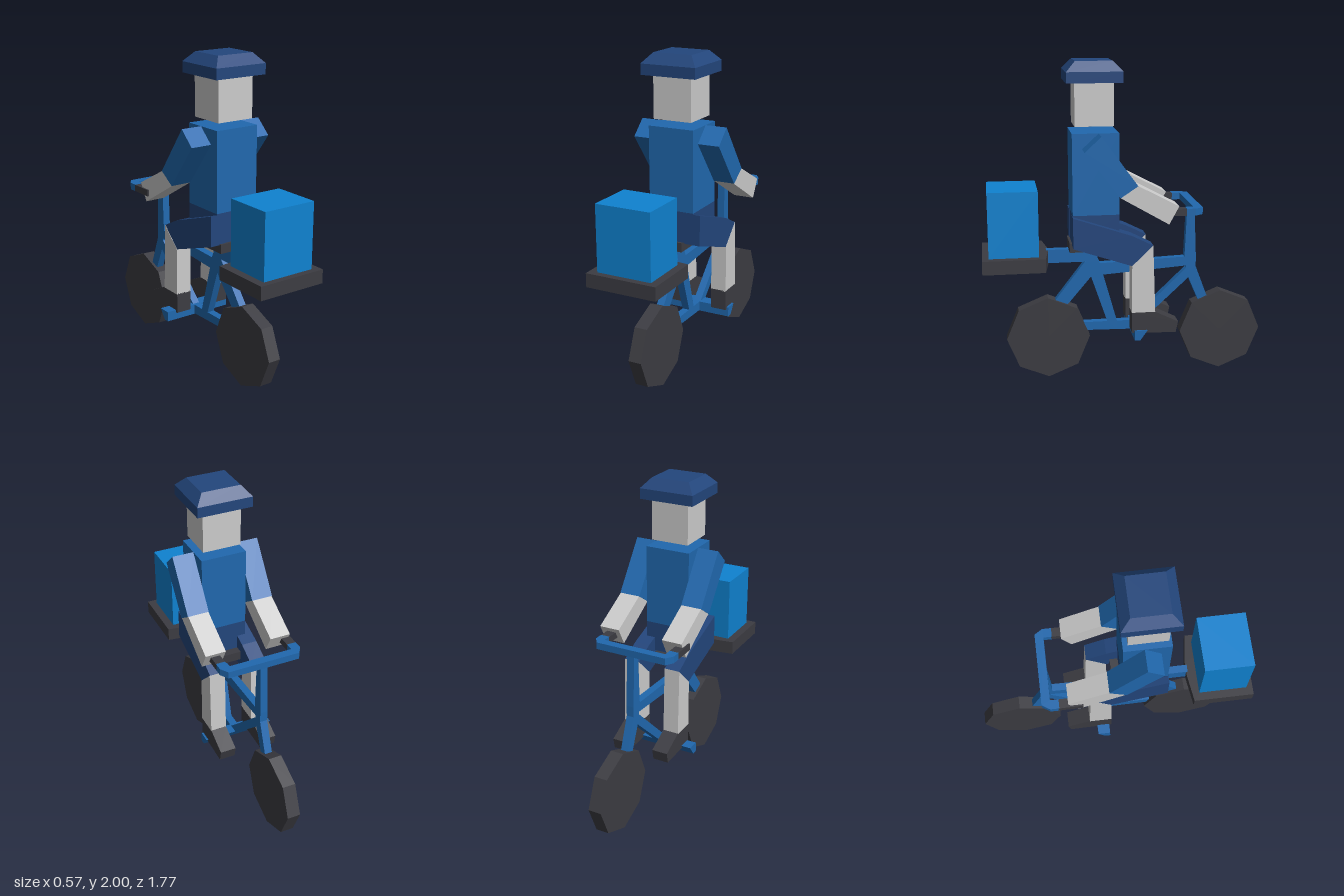
import * as THREE from 'three';

const mat = (color) => new THREE.MeshStandardMaterial({ color, flatShading: true });

export function createModel() {
  const model = new THREE.Group();
  const shirt = mat(0x2068ae), pants = mat(0x23467c), frameBlue = mat(0x2068ae);
  const crateBlue = mat(0x0f82d0), dark = mat(0x3c3c42), grey = mat(0xcccccc);
  const bikeX = -0.025; // the bicycle sits slightly off the rider's centre line

  const add = (name, geometry, material, parent = model) => {
    const mesh = new THREE.Mesh(geometry, material);
    mesh.name = name;
    parent.add(mesh);
    return mesh;
  };
  const group = (name) => {
    const g = new THREE.Group();
    g.name = name;
    model.add(g);
    return g;
  };
  const extrude = (points, depth) => new THREE.ExtrudeGeometry(
    new THREE.Shape(points.map(([a, b]) => new THREE.Vector2(a, b))),
    { depth, bevelEnabled: false });
  // Side profile of [z, y] points, spanning x0..x1
  const side = (points, x0, x1) =>
    extrude(points, x1 - x0).rotateY(-Math.PI / 2).translate(x1, 0, 0);
  // Plan outline of [x, z] points, spanning y0..y1
  const plan = (points, y0, y1) =>
    extrude(points, y1 - y0).rotateX(Math.PI / 2).translate(0, y1, 0);
  const box = (x0, x1, y0, y1, z0, z1) =>
    new THREE.BoxGeometry(x1 - x0, y1 - y0, z1 - z0)
      .translate((x0 + x1) / 2, (y0 + y1) / 2, (z0 + z1) / 2);

  // Rider: torso, hips, head
  const rider = group('rider');
  add('torso', box(-0.145, 0.145, 1.08, 1.577, 0.052, 0.335), shirt, rider);
  add('hips', box(-0.145, 0.145, 0.89, 1.08, 0.052, 0.335), pants, rider);
  add('head', box(-0.122, 0.122, 1.615, 1.88, 0.08, 0.315), grey, rider);

  // Cap: brim band with a sloped crown
  add('capBand', box(-0.175, 0.175, 1.875, 1.94, 0.03, 0.367), pants, rider);
  const crown = new THREE.BoxGeometry(0.35, 0.06, 0.337);
  const p = crown.attributes.position;
  for (let i = 0; i < p.count; i++) {
    if (p.getY(i) > 0) p.setXYZ(i, p.getX(i) * 0.7, p.getY(i), p.getZ(i) * 0.66);
  }
  add('capCrown', crown.translate(0, 1.97, 0.198), pants, rider);

  // Arms and legs, one set per side
  const limbs = [
    ['UpperArm', shirt, 0.145, 0.28, [[0.175, 1.577], [0.275, 1.485], [0.063, 1.21], [-0.042, 1.28]]],
    ['Forearm', grey, 0.147, 0.277, [[0.063, 1.21], [-0.042, 1.28], [-0.29, 1.15], [-0.23, 1.04]]],
    ['Thigh', pants, 0.09, 0.19, [[0.338, 1.075], [0.338, 0.885], [-0.02, 0.765], [-0.15, 0.89], [-0.02, 0.955]]],
    ['Shin', grey, 0.09, 0.192, [[-0.15, 0.89], [-0.02, 0.765], [-0.02, 0.46], [-0.165, 0.46]]],
    ['Shoe', dark, 0.09, 0.192, [[-0.02, 0.465], [-0.165, 0.465], [-0.31, 0.395], [-0.295, 0.325], [-0.02, 0.335]]],
  ];
  for (const [name, material, x0, x1, profile] of limbs) {
    add('left' + name, side(profile, x0, x1), material, rider);
    add('right' + name, side(profile, -x1, -x0), material, rider);
  }

  // Bicycle wheels
  const bike = group('bicycle');
  for (const [name, z] of [['frontWheel', -0.62], ['rearWheel', 0.486]]) {
    const wheel = new THREE.CylinderGeometry(0.262, 0.262, 0.083, 8).rotateZ(Math.PI / 2);
    add(name, wheel.translate(bikeX, 0.265, z), dark, bike);
  }

  // Frame tubes
  const tubes = {
    topTube: [[0.17, 0.735], [-0.40, 0.757], [-0.40, 0.698], [0.17, 0.658]],
    seatTube: [[0.245, 0.75], [0.20, 0.835], [0.16, 0.75], [0.048, 0.35], [0.05, 0.30], [0.11, 0.35]],
    seatStay: [[0.25, 0.75], [0.17, 0.70], [0.45, 0.37], [0.52, 0.40]],
    chainStay: [[0.48, 0.35], [0.11, 0.35], [-0.07, 0.35], [-0.07, 0.29], [0.25, 0.297], [0.48, 0.297]],
    downTube: [[-0.407, 0.69], [-0.42, 0.625], [-0.08, 0.31], [-0.03, 0.33]],
    stem: [[-0.40, 1.10], [-0.445, 1.10], [-0.46, 0.757], [-0.46, 0.68], [-0.405, 0.65], [-0.386, 0.757]],
    fork: [[-0.46, 0.69], [-0.40, 0.65], [-0.565, 0.265], [-0.62, 0.265]],
  };
  for (const [name, profile] of Object.entries(tubes)) {
    add(name, side(profile, bikeX - 0.024, bikeX + 0.024), frameBlue, bike);
  }
  add('pedalBar', side([[-0.035, 0.35], [-0.115, 0.35], [-0.07, 0.287], [-0.035, 0.287]], -0.255, 0.205), frameBlue, bike);
  add('seat', box(bikeX - 0.1, bikeX + 0.1, 0.832, 0.89, 0.0, 0.35), dark, bike);

  // Handlebar with bent ends, and grips
  const bar = [[-0.23, -0.45], [0.23, -0.45], [0.262, -0.40], [0.262, -0.345],
    [0.204, -0.345], [0.204, -0.397], [-0.204, -0.397], [-0.204, -0.345],
    [-0.262, -0.345], [-0.262, -0.40]];
  add('handlebar', plan(bar.map(([x, z]) => [x + bikeX, z]), 1.08, 1.123), frameBlue, bike);
  for (const s of [-1, 1]) {
    const x = bikeX + s * 0.233;
    add(s > 0 ? 'leftGrip' : 'rightGrip', box(x - 0.029, x + 0.029, 1.081, 1.122, -0.35, -0.2), dark, bike);
  }

  // Rear carrier: rail, tray and delivery box
  const carrier = group('carrier');
  add('carrierRail', box(bikeX - 0.024, bikeX + 0.024, 0.75, 0.835, 0.17, 0.49), frameBlue, carrier);
  add('tray', plan([[-0.248, 0.505], [-0.067, 0.48], [0.018, 0.48], [0.2, 0.505],
    [0.2, 0.885], [-0.248, 0.885]], 0.748, 0.833), dark, carrier);
  add('deliveryBox', box(-0.197, 0.15, 0.833, 1.238, 0.542, 0.845), crateBlue, carrier);

  return model;
}
